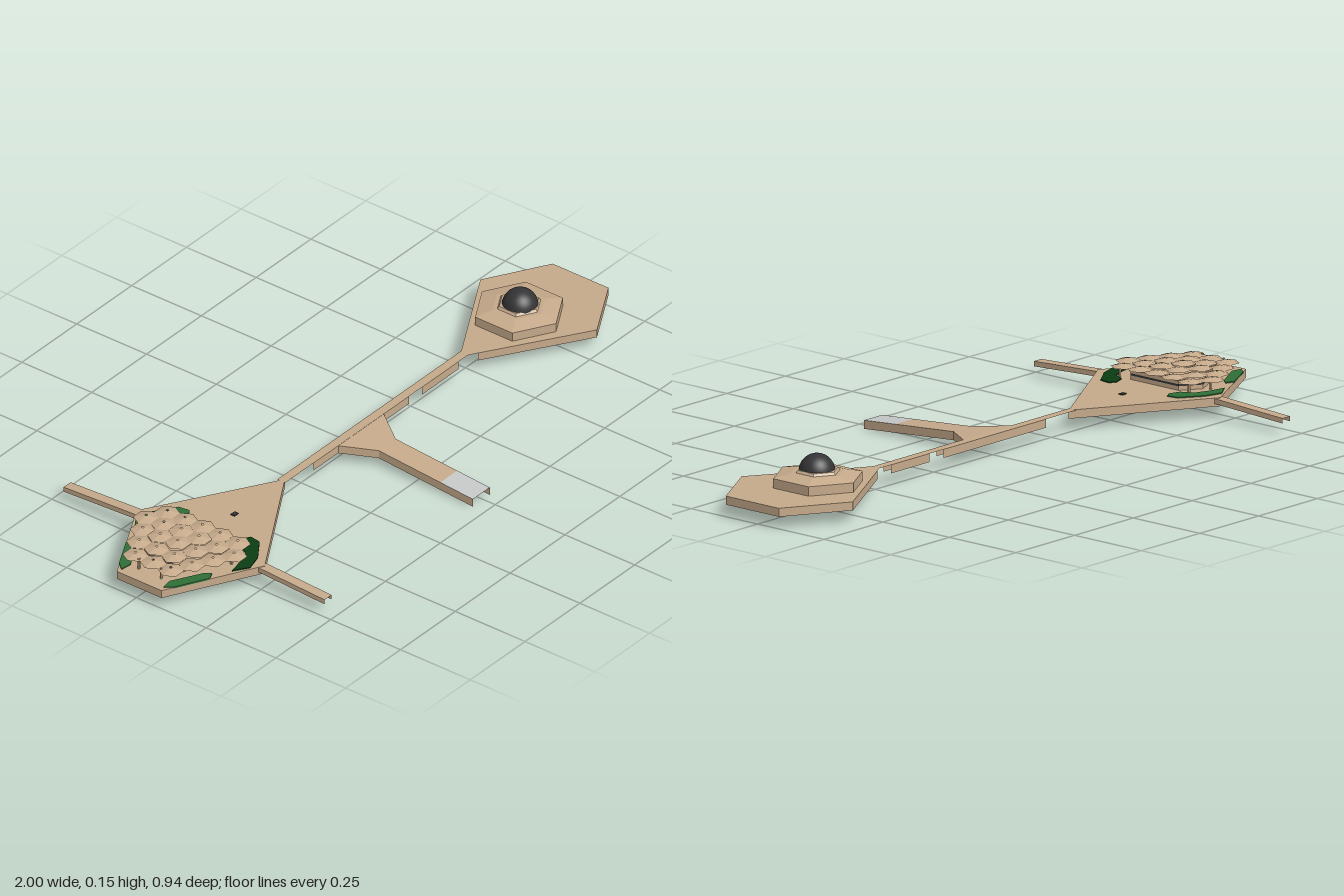
import * as THREE from 'three';

const mat = (name, color) => {
  const m = new THREE.MeshStandardMaterial({ color, side: THREE.DoubleSide });
  m.name = name;
  return m;
};

export function createModel() {
  const root = new THREE.Group();
  const tan = mat('sandstone', 0xc6aa8b);
  const dark = mat('darkGlass', 0x343436);
  const grey = mat('paleGrey', 0xc6c8c8);
  const green = mat('hedgeGreen', 0x2f6f37);
  const deepGreen = mat('deepGreen', 0x0b3d12);
  const TOP = 0.0625, MID = 0.01;
  const flat = () => TOP;

  const add = (parent, name, geo, material, x = 0, y = 0, z = 0) => {
    const g = geo.index ? geo.toNonIndexed() : geo;
    g.computeVertexNormals();
    const mesh = new THREE.Mesh(g, material);
    mesh.name = name;
    mesh.position.set(x, y, z);
    parent.add(mesh);
    return mesh;
  };
  const group = (name) => {
    const g = new THREE.Group();
    g.name = name;
    root.add(g);
    return g;
  };
  const outline = (pts) => new THREE.Shape(pts.map(([x, z]) => new THREE.Vector2(x, -z)));

  // Open sheet whose height follows a rule of z
  const deck = (parent, name, pts, material = tan, height = flat) => {
    const geo = new THREE.ShapeGeometry(outline(pts)).rotateX(-Math.PI / 2);
    const p = geo.attributes.position;
    for (let i = 0; i < p.count; i++) p.setY(i, height(p.getZ(i)));
    return add(parent, name, geo, material);
  };
  // Vertical apron hanging below a path
  const skirt = (parent, name, pts, depth = 0.025, height = flat, material = tan) => {
    const v = [];
    for (let i = 0; i + 1 < pts.length; i++) {
      const [ax, az] = pts[i], [bx, bz] = pts[i + 1];
      const ay = height(az), by = height(bz);
      v.push(ax, ay, az, ax, ay - depth, az, bx, by - depth, bz);
      v.push(ax, ay, az, bx, by - depth, bz, bx, by, bz);
    }
    const geo = new THREE.BufferGeometry();
    geo.setAttribute('position', new THREE.Float32BufferAttribute(v, 3));
    return add(parent, name, geo, material);
  };

  // Diamond-shaped platform
  const west = group('gardenPlatform');
  const westPts = [[-0.335, MID], [-0.72, -0.22], [-1, -0.07], [-1, 0.09], [-0.72, 0.24]];
  deck(west, 'gardenDeck', westPts);
  skirt(west, 'gardenSkirt', [...westPts, westPts[0]]);
  add(west, 'hatch', new THREE.BoxGeometry(0.018, 0.004, 0.014), dark, -0.565, TOP + 0.001, MID);

  // Sloping arms on both sides
  for (const s of [-1, 1]) {
    const arm = group(s < 0 ? 'backArm' : 'frontArm');
    const z0 = MID + s * 0.215, z1 = s * 0.468;
    const slope = (z) => TOP - 0.001 - 0.0125 * Math.abs((z - z0) / (z1 - z0));
    deck(arm, 'armDeck', [[-0.737, z0], [-0.705, z0], [-0.705, z1], [-0.737, z1]], tan, slope);
    for (const x of [-0.737, -0.705]) skirt(arm, 'armSide', [[x, z0], [x, z1]], 0.015, slope);
  }

  // Hedges, mirrored across the long axis
  const cornerHedge = [[-0.8, -0.165], [-0.755, -0.195], [-0.7, -0.18], [-0.635, -0.135],
    [-0.63, -0.1], [-0.65, -0.088], [-0.685, -0.1], [-0.7, -0.135], [-0.75, -0.155]];
  const edgeHedge = [[-0.985, -0.065], [-0.965, -0.09], [-0.87, -0.14], [-0.845, -0.13],
    [-0.86, -0.11], [-0.95, -0.06]];
  for (const s of [1, -1]) {
    [cornerHedge, edgeHedge].forEach((pts, i) => {
      const m = pts.map(([x, z]) => [x, MID + s * (z - MID)]);
      const geo = new THREE.ExtrudeGeometry(outline(m), { depth: 0.005, bevelEnabled: false });
      geo.rotateX(-Math.PI / 2);
      add(west, i ? 'edgeHedge' : 'cornerHedge', geo, s < 0 && !i ? deepGreen : green, 0, TOP - 0.002, 0);
    });
  }

  // Pavilion: banded walls, posts and a roof of hexagonal tiles
  const pavilion = group('pavilion');
  const wall = [[-0.7, -0.08], [-0.76, -0.12], [-0.905, -0.05], [-0.905, 0.07], [-0.76, 0.14], [-0.7, 0.1], [-0.7, -0.08]];
  skirt(pavilion, 'lowerWall', wall, 0.012, () => 0.0745);
  skirt(pavilion, 'windowBand', wall, 0.006, () => 0.0805, dark);
  skirt(pavilion, 'upperWall', wall, 0.012, () => 0.0925);
  const posts = [[-0.95, -0.03], [-0.95, 0.05], [-0.77, -0.14], [-0.77, 0.16], [-0.7, -0.12], [-0.7, 0.14]];
  for (const [x, z] of posts) {
    add(pavilion, 'post', new THREE.CylinderGeometry(0.004, 0.004, 0.035, 6), tan, x, TOP + 0.0175, z);
  }
  const R = 0.0375;
  [5, 6, 5, 4, 3].forEach((count, c) => {
    for (let i = 0; i < count; i++) {
      const x = -0.711 - c * 1.5 * R;
      const z = MID + (i - (count - 1) / 2) * R * Math.sqrt(3) * 0.97;
      const rise = 0.01 * Math.max(0, 1 - Math.hypot(x + 0.8, z - MID) / 0.14);
      const tile = new THREE.CylinderGeometry(0.004, R, 0.009, 6, 1, true, Math.PI / 6);
      add(pavilion, 'roofTile', tile, tan, x, 0.0965 + rise, z);
    }
  });

  // Bridge deck with separate apron lengths
  const bridge = group('bridge');
  const [zb, zf] = [-0.006, 0.022];
  deck(bridge, 'bridgeDeck', [[-0.35, zb], [0.49, zb], [0.49, zf], [-0.35, zf]]);
  const aprons = [[-0.22, 0.215, zb], [0.275, 0.44, zb], [-0.22, -0.107, zf], [0.1, 0.215, zf], [0.275, 0.44, zf]];
  for (const [x0, x1, z] of aprons) skirt(bridge, 'bridgeApron', [[x0, z], [x1, z]]);

  // Flared ramp descending to the front
  const ramp = group('entranceRamp');
  const fall = (z) => TOP - 0.0005 - 0.08 * Math.max(0, z - zf);
  const [xl, xr, zg, ze] = [-0.047, 0.03, 0.34, 0.457];
  deck(ramp, 'rampDeck', [[-0.107, zf], [0.1, zf], [xr, 0.12], [xr, zg], [xl, zg], [xl, 0.12]], tan, fall);
  deck(ramp, 'rampEnd', [[xl, zg], [xr, zg], [xr, ze], [xl, ze]], grey, fall);
  skirt(ramp, 'rampSide', [[-0.107, zf], [xl, 0.12], [xl, ze]], 0.025, fall);
  skirt(ramp, 'rampSide', [[0.1, zf], [xr, 0.12], [xr, ze]], 0.025, fall);

  // Hexagonal platform at the other end
  const east = group('domePlatform');
  const rim = [[0.51, -0.018], [0.81, -0.19], [1, -0.08], [1, 0.12], [0.81, 0.228], [0.51, 0.038]];
  deck(east, 'domeDeck', [[0.46, MID], ...rim]);
  skirt(east, 'domeSkirt', rim);

  // Stepped hexagonal hall under a dome
  const hall = group('domeHall');
  const hex = (name, rTop, rBase, y0, y1) =>
    add(hall, name, new THREE.CylinderGeometry(rTop, rBase, y1 - y0, 6), tan, 0.732, (y0 + y1) / 2, MID);
  hex('hallWalls', 0.133, 0.133, TOP, 0.09);
  hex('hallRoof', 0.08, 0.133, 0.09, 0.101);
  hex('domeCollar', 0.06, 0.066, 0.101, 0.108);
  const dome = new THREE.Mesh(new THREE.SphereGeometry(0.052, 32, 12, 0, Math.PI * 2, 0, Math.PI / 2), dark);
  dome.name = 'dome';
  dome.position.set(0.732, 0.1, 0.014);
  hall.add(dome);

  return root;
}
